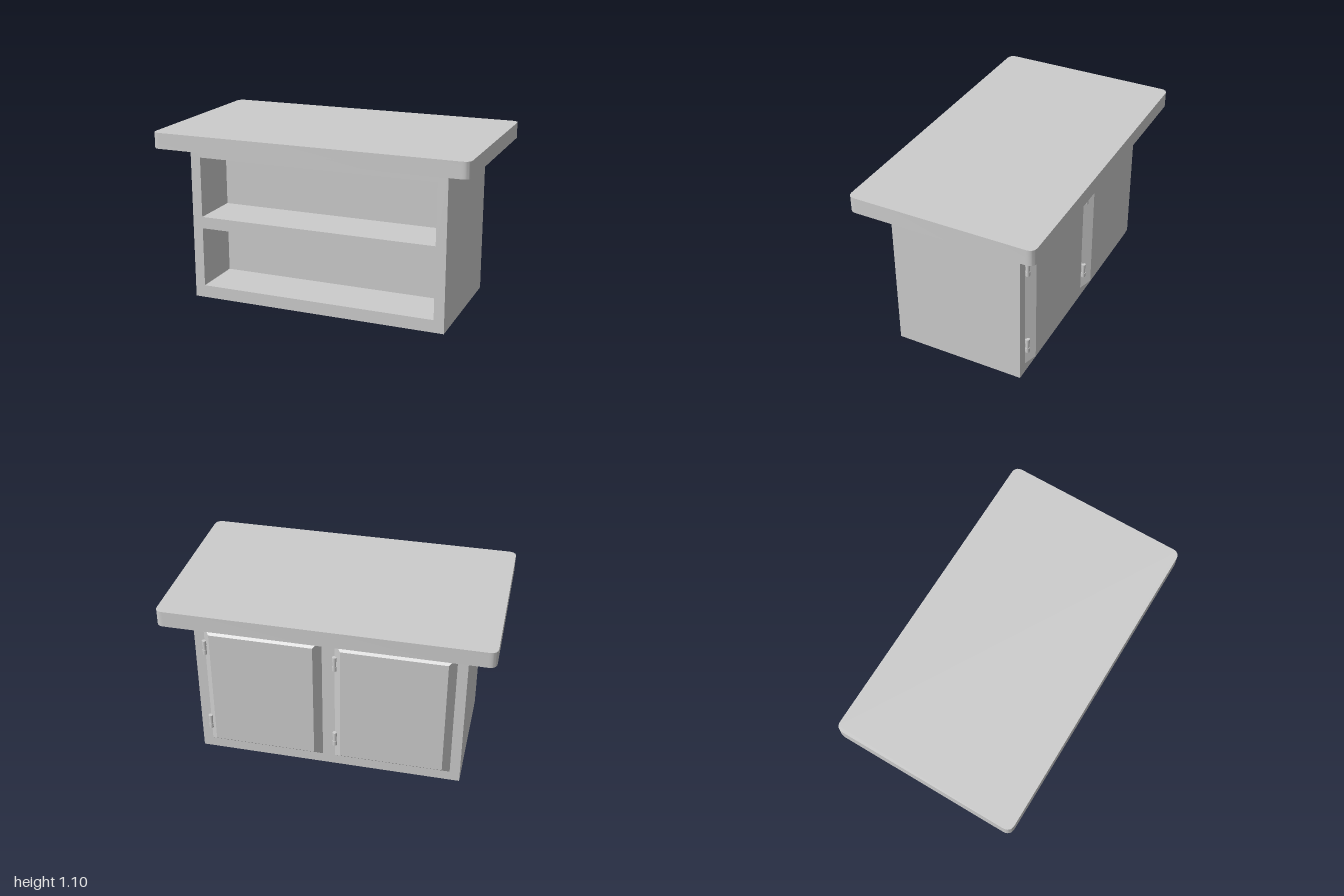
import * as THREE from 'three';
import { toCreasedNormals } from 'three/addons/utils/BufferGeometryUtils.js';

const grey = new THREE.MeshStandardMaterial({ color: 0xcccccc });
grey.name = 'grey';

function part(name, geometry, parent) {
  const mesh = new THREE.Mesh(geometry, grey);
  mesh.name = name;
  parent.add(mesh);
  return mesh;
}

function rectangle(target, x0, y0, x1, y1) {
  target.moveTo(x0, y0);
  target.lineTo(x1, y0);
  target.lineTo(x1, y1);
  target.lineTo(x0, y1);
  target.closePath();
  return target;
}

// Slab with rounded vertical corners
function worktopGeometry(w, d, h, r) {
  const s = new THREE.Shape();
  s.moveTo(-w + r, -d);
  s.lineTo(w - r, -d);
  s.quadraticCurveTo(w, -d, w, -d + r);
  s.lineTo(w, d - r);
  s.quadraticCurveTo(w, d, w - r, d);
  s.lineTo(-w + r, d);
  s.quadraticCurveTo(-w, d, -w, d - r);
  s.lineTo(-w, -d + r);
  s.quadraticCurveTo(-w, -d, -w + r, -d);
  const g = new THREE.ExtrudeGeometry(s, { depth: h, bevelEnabled: false, curveSegments: 8 });
  g.rotateX(-Math.PI / 2);
  return toCreasedNormals(g, 0.6);
}

// Door panel whose outer (-z) face is inset on all sides
function doorGeometry(w, h, d, inset) {
  const g = new THREE.BoxGeometry(w, h, d);
  const p = g.attributes.position;
  for (let i = 0; i < p.count; i++) {
    if (p.getZ(i) > 0) continue;
    p.setX(i, p.getX(i) - Math.sign(p.getX(i)) * inset);
    p.setY(i, p.getY(i) - Math.sign(p.getY(i)) * inset);
  }
  g.computeVertexNormals();
  return g;
}

function makeHinge() {
  const hinge = new THREE.Group();
  hinge.name = 'hinge';
  const r = 0.014;
  for (const side of [-1, 1]) {
    part('hingeKnuckle', new THREE.CylinderGeometry(r, r, 0.03, 12), hinge).position.y = side * 0.033;
  }
  part('hingePin', new THREE.CylinderGeometry(r * 0.8, r * 0.8, 0.04, 12), hinge);
  return hinge;
}

export function createModel() {
  const model = new THREE.Group();
  model.name = 'kitchenIsland';
  const W = 0.832, D = 0.417, shelfDepth = 0.336;

  // Cabinet: open shelves at the front, solid block behind them
  const face = rectangle(new THREE.Shape(), -W, 0, W, 1);
  for (const [y0, y1] of [[0.08, 0.465], [0.54, 0.925]]) {
    face.holes.push(rectangle(new THREE.Path(), -0.767, y0, 0.767, y1));
  }
  const shelves = new THREE.ExtrudeGeometry(face, { depth: shelfDepth, bevelEnabled: false });
  part('openShelves', shelves, model).position.z = D - shelfDepth;
  const blockDepth = 2 * D - shelfDepth;
  part('cabinetBack', new THREE.BoxGeometry(2 * W, 1, blockDepth), model)
    .position.set(0, 0.5, -D + blockDepth / 2);

  // Worktop
  part('worktop', worktopGeometry(1, 0.583, 0.1, 0.05), model).position.y = 1;

  // Two hinged doors on the back
  for (const x of [0.404, -0.404]) {
    const door = new THREE.Group();
    door.name = 'door';
    door.position.set(x, 0, -D);
    part('doorPanel', doorGeometry(0.73, 0.875, 0.05, 0.045), door).position.set(0, 0.502, -0.025);
    for (const y of [0.213, 0.782]) {
      const hinge = makeHinge();
      hinge.position.set(0.362, y, -0.016);
      door.add(hinge);
    }
    model.add(door);
  }
  return model;
}
